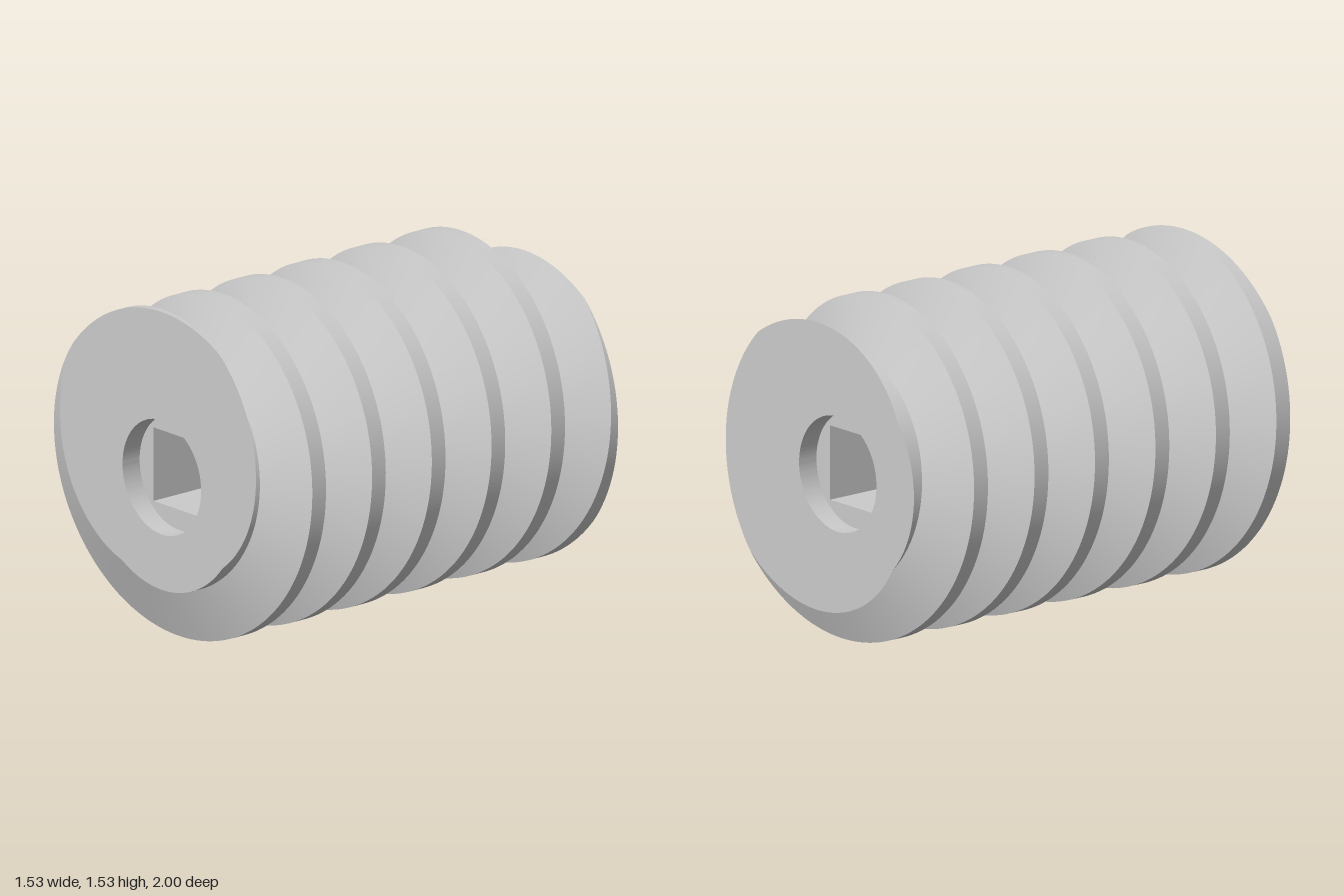
import * as THREE from 'three';
import { toCreasedNormals } from 'three/addons/utils/BufferGeometryUtils.js';

const SEGMENTS = 192;          // multiple of 8 so the square socket gets true corners
const CREST = 0.765, ROOT = 0.52, PITCH = 0.349, START = -0.037;
const CREST_HALF = 0.04, FOOT_HALF = PITCH / 2 - 0.04;
const BORE = 0.264, BORE_DEPTH = 0.1, SQUARE = 0.17;

// Axial position of the thread crest at an angle, measured from the top towards +x
const crestZ = (phi) => START + (PITCH * phi) / (2 * Math.PI);

// Radius of the trapezoidal thread at any point along the axis
function threadRadius(phi, z) {
  const u = (z - crestZ(phi)) / PITCH;
  const d = Math.abs(u - Math.round(u)) * PITCH;
  const t = THREE.MathUtils.clamp((FOOT_HALF - d) / (FOOT_HALF - CREST_HALF), 0, 1);
  return ROOT + (CREST - ROOT) * t;
}

// Radius of the square socket at an angle
const squareRadius = (phi) => SQUARE / Math.max(Math.abs(Math.sin(phi)), Math.abs(Math.cos(phi)));

// Sweeps a profile of [radius, z] points, which may change with angle, round the z axis
function sweep(name, profile, material) {
  const columns = [];
  for (let i = 0; i <= SEGMENTS; i++) {
    const phi = (i / SEGMENTS) * Math.PI * 2;
    const around = i === SEGMENTS ? 0 : phi;
    columns.push(profile(phi).map(([r, z]) =>
      new THREE.Vector3(r * Math.sin(around), r * Math.cos(around), z)));
  }
  const points = [];
  const tri = new THREE.Triangle();
  const addFace = (a, b, c) => {
    if (tri.set(a, b, c).getArea() > 1e-8) points.push(a, b, c);
  };
  for (let i = 0; i < SEGMENTS; i++) {
    const p = columns[i], q = columns[i + 1];
    for (let j = 0; j < p.length - 1; j++) {
      addFace(p[j], p[j + 1], q[j]);
      addFace(q[j], p[j + 1], q[j + 1]);
    }
  }
  const geometry = new THREE.BufferGeometry().setFromPoints(points);
  const mesh = new THREE.Mesh(toCreasedNormals(geometry, 0.3), material);
  mesh.name = name;
  return mesh;
}

export function createModel() {
  const group = new THREE.Group();
  group.name = 'wormScrew';
  const material = new THREE.MeshStandardMaterial({ color: 0xcccccc });

  // Helical thread, cut flat at both ends
  const thread = sweep('thread', (phi) => {
    const rows = [];
    for (let k = -4; k <= 4; k++) {
      for (const offset of [-FOOT_HALF, -CREST_HALF, CREST_HALF, FOOT_HALF]) {
        const z = THREE.MathUtils.clamp(crestZ(phi) + k * PITCH + offset, -1, 1);
        rows.push([threadRadius(phi, z), z]);
      }
    }
    return rows;
  }, material);

  // Flat ends, following the cut thread outline
  const frontFace = sweep('frontFace', (phi) => [[threadRadius(phi, 1), 1], [BORE, 1]], material);
  const backFace = sweep('backFace', (phi) => [[BORE, -1], [threadRadius(phi, -1), -1]], material);

  // Round recess at each end joined by a square through hole
  const inner = 1 - BORE_DEPTH;
  const socket = sweep('socket', (phi) => [
    [BORE, 1], [BORE, inner],
    [squareRadius(phi), inner], [squareRadius(phi), -inner],
    [BORE, -inner], [BORE, -1],
  ], material);

  group.add(thread, frontFace, backFace, socket);
  for (const part of group.children) part.position.y = CREST;
  return group;
}
